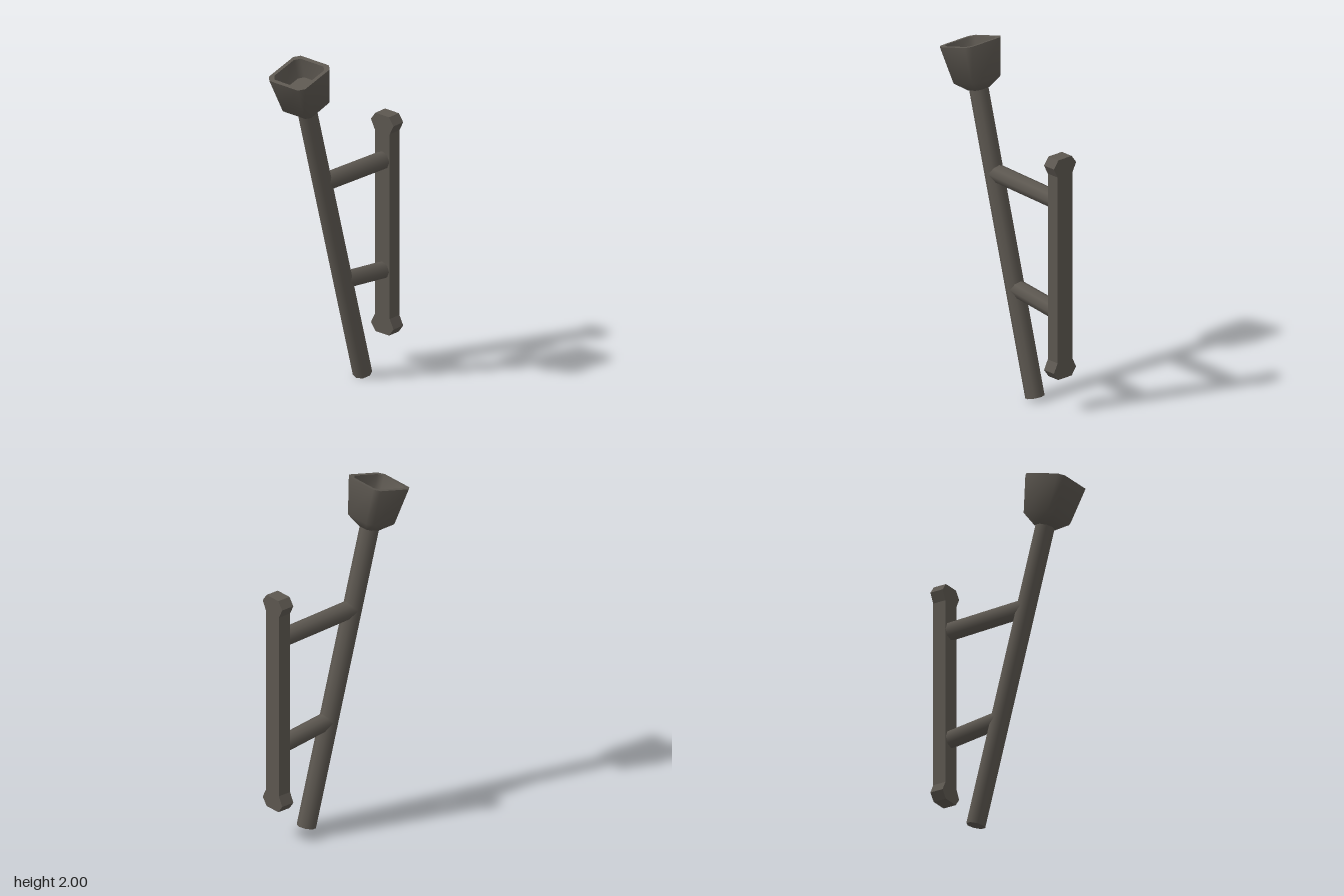
import * as THREE from 'three';
import { toCreasedNormals } from 'three/addons/utils/BufferGeometryUtils.js';

const darkIron = new THREE.MeshStandardMaterial({ color: 0x5c5750 });
darkIron.name = 'darkIron';

function addMesh(parent, name, geometry) {
  const mesh = new THREE.Mesh(geometry, darkIron);
  mesh.name = name;
  parent.add(mesh);
  return mesh;
}

// Eight-sided bar between two points
function addBar(parent, name, from, to, radius) {
  const a = new THREE.Vector3(...from);
  const b = new THREE.Vector3(...to);
  const dir = b.clone().sub(a);
  const bar = addMesh(parent, name, new THREE.CylinderGeometry(radius, radius, dir.length(), 8));
  bar.position.copy(a).add(b).multiplyScalar(0.5);
  bar.quaternion.setFromUnitVectors(new THREE.Vector3(0, 1, 0), dir.normalize());
  return bar;
}

// Square ring with cut corners, counter-clockwise when seen from above
function cutSquare(half, cut, y) {
  const c = half - cut;
  return [[half, c], [half, -c], [c, -half], [-c, -half], [-half, -c], [-half, c], [-c, half], [c, half]]
    .map(([x, z]) => [x, y, z]);
}

// Skin over a stack of rings, with both ends closed
function loft(rings) {
  const n = rings[0].length;
  const last = (rings.length - 1) * n;
  const index = [];
  for (let r = 0; r < rings.length - 1; r++) {
    for (let i = 0; i < n; i++) {
      const a = r * n + i;
      const b = r * n + (i + 1) % n;
      index.push(a, b, b + n, a, b + n, a + n);
    }
  }
  for (let i = 1; i < n - 1; i++) {
    index.push(0, i + 1, i, last, last + i, last + i + 1);
  }
  const geometry = new THREE.BufferGeometry();
  geometry.setAttribute('position', new THREE.Float32BufferAttribute(rings.flat(2), 3));
  geometry.setIndex(index);
  return toCreasedNormals(geometry, 1.1);
}

export function createModel() {
  const model = new THREE.Group();
  model.name = 'wallTorch';

  // Leaning shaft with a hollow cup on its end
  const torch = new THREE.Group();
  torch.name = 'torch';
  torch.position.set(0, 0.015, -0.203);
  torch.rotation.x = 0.262;
  model.add(torch);
  addBar(torch, 'shaft', [0, 0, 0], [0, 1.77, 0], 0.054);
  addMesh(torch, 'cup', loft([
    cutSquare(0.052, 0.022, 1.752),
    cutSquare(0.107, 0.03, 1.805),
    cutSquare(0.134, 0.03, 2.018),
    cutSquare(0.111, 0.027, 2.018),
    cutSquare(0.092, 0.025, 1.91),
  ]));

  // Wall plate with flared ends
  const right = [[0.05, 0.2], [0.083, 0.245], [0.055, 0.3], [0.055, 1.4], [0.083, 1.455], [0.05, 1.5]];
  const left = right.map(([x, y]) => [-x, y]).reverse();
  const outline = new THREE.Shape([...right, ...left].map(([x, y]) => new THREE.Vector2(x, y)));
  const plate = addMesh(model, 'wallPlate',
    new THREE.ExtrudeGeometry(outline, { depth: 0.08, bevelEnabled: false }));
  plate.position.z = -0.446;

  // Struts joining the shaft to the plate
  addBar(model, 'upperStrut', [0, 1.25, 0.125], [0, 1.231, -0.38], 0.052);
  addBar(model, 'lowerStrut', [0, 0.618, -0.041], [0, 0.576, -0.38], 0.05);

  return model;
}
